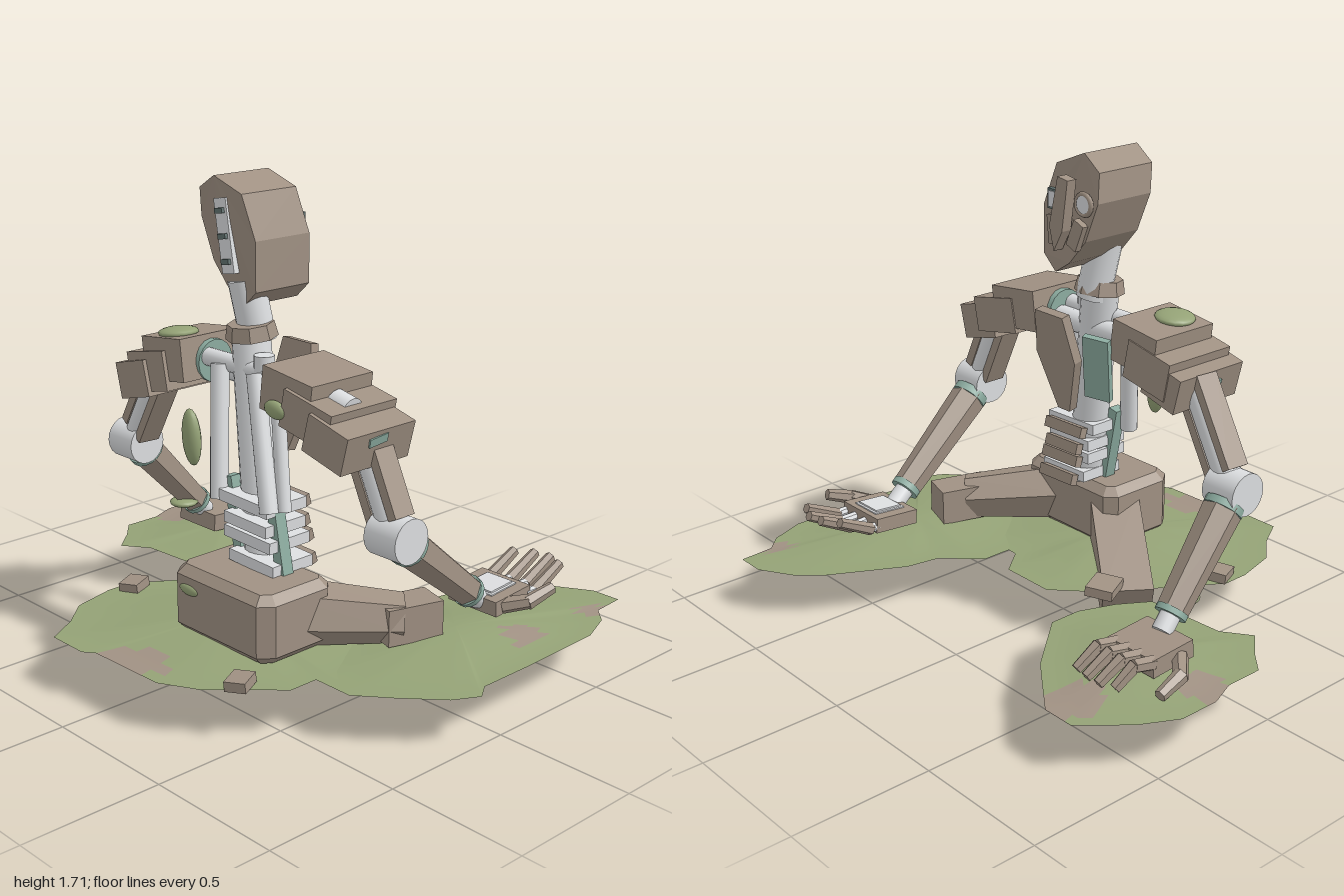
import * as THREE from 'three';

const mat = (name, color) => { const m = new THREE.MeshStandardMaterial({ color }); m.name = name; return m; };
const V = (p) => new THREE.Vector3(...p);

export function createModel() {
  const root = new THREE.Group();
  const brown = mat('weatheredBrown', 0xa09183), white = mat('paleMetal', 0xdcdee0);
  const green = mat('moss', 0x94a276), teal = mat('tealJoint', 0x8dada1);
  const soil = mat('soil', 0x82776c), dark = mat('darkSlot', 0x627270);

  const add = (name, geo, m, pos = [0, 0, 0], rot = [0, 0, 0], parent = root) => {
    const mesh = new THREE.Mesh(geo, m);
    mesh.name = name; mesh.position.set(...pos); mesh.rotation.set(...rot);
    parent.add(mesh);
    return mesh;
  };
  const box = (name, m, size, pos, rot) => add(name, new THREE.BoxGeometry(...size), m, pos, rot);
  const blob = (name, size, pos, rot) => {
    const g = new THREE.SphereGeometry(1, 16, 10).scale(...size);
    return add(name, g, green, pos, rot);
  };
  // Tapered round or prismatic bar between two points
  const bar = (name, m, a, b, r1, r2 = r1, n = 16) => {
    const d = V(b).sub(V(a));
    let g = new THREE.CylinderGeometry(r2, r1, d.length(), n);
    if (n <= 8) { g = g.toNonIndexed(); g.computeVertexNormals(); }
    const mesh = add(name, g, m, V(a).add(V(b)).multiplyScalar(0.5).toArray());
    mesh.quaternion.setFromUnitVectors(new THREE.Vector3(0, 1, 0), d.normalize());
    return mesh;
  };
  // Rectangular beam between two points, with an optional offset across its height
  const beam = (name, m, a, b, w, h, lift = 0) => {
    const d = V(b).sub(V(a));
    const holder = new THREE.Group();
    holder.name = name + 'Holder';
    holder.position.copy(V(a).add(V(b)).multiplyScalar(0.5));
    holder.lookAt(holder.position.clone().add(d));
    root.add(holder);
    return add(name, new THREE.BoxGeometry(w, h, d.length()), m, [0, lift, 0], [0, 0, 0], holder);
  };
  const lerp = (a, b, t) => V(a).lerp(V(b), t).toArray();
  const extrude = (pts, depth, bevel = 0) => new THREE.ExtrudeGeometry(
    new THREE.Shape(pts.map((p) => new THREE.Vector2(...p))),
    { depth, bevelEnabled: bevel > 0, bevelSize: bevel, bevelThickness: bevel, bevelOffset: -bevel, bevelSegments: 1 });

  // Lens-shaped mossy ground, with bare patches given as [x, z, radius]
  const mound = (name, outline, cx, cz, up, down, patches) => {
    const rim = [];
    outline.forEach((p, i) => {
      const q = outline[(i + 1) % outline.length];
      for (let k = 0; k < 4; k++) rim.push([p[0] + (q[0] - p[0]) * k / 4, p[1] + (q[1] - p[1]) * k / 4]);
    });
    const n = rim.length, R = 10, pos = [], idx = [[], [], []];
    for (const h of [up, -down]) for (let r = 0; r <= R; r++) for (const [x, z] of rim) {
      const t = r / R;
      pos.push(cx + (x - cx) * t, 0.163 + h * (0.5 + 0.5 * Math.cos(Math.PI * t)), cz + (z - cz) * t);
    }
    const base = n * (R + 1);
    for (let r = 0; r < R; r++) for (let i = 0; i < n; i++) {
      const a = r * n + i, b = r * n + (i + 1) % n, c = a + n, d = b + n;
      const x = pos[c * 3], z = pos[c * 3 + 2];
      const bare = patches.some((p) => Math.hypot(x - p[0], z - p[1]) < p[2]);
      const top = r ? [a, d, c, a, b, d] : [a, d, c];
      idx[bare ? 1 : 0].push(...top);
      idx[2].push(...top.map((k) => k + base).reverse());
    }
    const g = new THREE.BufferGeometry();
    g.setAttribute('position', new THREE.Float32BufferAttribute(pos, 3));
    g.setIndex(idx.flat());
    let start = 0;
    idx.forEach((list, i) => { g.addGroup(start, list.length, i); start += list.length; });
    g.computeVertexNormals();
    add(name, g, [green, brown, soil]);
  };
  mound('rightMound', [[-0.8, -0.68], [-0.68, -0.68], [-0.55, -0.58], [-0.46, -0.51], [-0.28, -0.3], [-0.28, -0.18],
    [-0.33, -0.05], [-0.4, 0.06], [-0.7, 0.08], [-0.8, 0.15], [-0.88, 0.06], [-0.96, -0.01], [-0.96, -0.15],
    [-1, -0.25], [-1, -0.4], [-0.93, -0.53]], -0.65, -0.25, 0.03, 0.035, [[-0.72, -0.6, 0.1], [-0.93, -0.2, 0.09]]);
  mound('centreMound', [[-0.09, -0.16], [0.12, -0.16], [0.2, -0.06], [0.4, -0.05], [0.6, 0.1], [0.66, 0.35],
    [0.56, 0.4], [0.56, 0.51], [0.36, 0.72], [0.23, 0.79], [-0.08, 0.8], [-0.12, 0.83], [-0.28, 0.83], [-0.35, 0.71],
    [-0.44, 0.61], [-0.48, 0.45], [-0.48, 0.35], [-0.38, 0.2], [-0.24, -0.02]], 0.05, 0.3, 0.04, 0.055, [[0.1, 0.78, 0.12]]);
  mound('leftMound', [[0.72, -0.84], [0.83, -0.84], [0.84, -0.71], [0.9, -0.65], [0.95, -0.52], [0.96, -0.2], [0.96, 0.04],
    [1, 0.1], [0.95, 0.19], [0.82, 0.31], [0.71, 0.4], [0.55, 0.4], [0.35, 0.2], [0.24, -0.02], [0.24, -0.17],
    [0.36, -0.3], [0.38, -0.42], [0.52, -0.68], [0.6, -0.77]], 0.64, -0.18, 0.036, 0.045,
  [[0.84, -0.74, 0.06], [0.82, -0.36, 0.07]]);
  [[-0.26, 0.2, -0.04, 0.5], [-0.43, 0.18, 0.37, 0.4], [0.43, 0.18, 0.61, 0.45]].forEach(
    ([x, y, z, a], i) => box('rubble', brown, [i ? 0.075 : 0.1, 0.035, i ? 0.09 : 0.13], [x, y, z], [0.05, a, 0.05]));

  // Pelvis and legs
  const pelvis = extrude([[-0.2, -0.16], [0.2, -0.16], [0.24, -0.11], [0.24, 0.12], [0.2, 0.16], [-0.2, 0.16], [-0.24, 0.12], [-0.24, -0.11]], 0.18, 0.03);
  add('pelvis', pelvis.rotateX(-Math.PI / 2), brown, [0.19, 0.21, 0.345]);
  beam('rightThigh', brown, [0.06, 0.3, 0.3], [-0.275, 0.105, 0.06], 0.18, 0.15);
  bar('leftThigh', brown, [0.28, 0.29, 0.32], [0.56, 0.26, 0.0], 0.12, 0.085, 6);
  beam('leftKnee', brown, [0.53, 0.255, 0.08], [0.59, 0.255, -0.12], 0.13, 0.13);
  blob('pelvisMoss', [0.05, 0.02, 0.015], [0.05, 0.345, 0.5]);

  // Spine, waist and rib rods
  bar('lowerPost', white, [0.195, 0, 0.305], [0.19, 0.25, 0.28], 0.067);
  bar('spine', white, [0.185, 0.25, 0.27], [0.03, 1.18, 0.2], 0.067);
  [[0.64, 0.15, 0.24], [0.57, 0.16, 0.21], [0.52, 0.17, 0.23], [0.44, 0.19, 0.22]].forEach(([y, x, w]) => {
    box('waistSlat', white, [w, 0.04, 0.18], [x, y, 0.26], [0, 0, -0.03]);
    box('waistBackSlat', brown, [w * 0.8, 0.04, 0.03], [x, y - 0.01, 0.145], [0.3, 0, -0.03]);
  });
  for (const x of [0.03, 0.235]) beam('waistPost', teal, [x + 0.06, 0.4, 0.29], [x, 0.7, 0.29], 0.045, 0.04);
  bar('frontRibRod', white, [-0.05, 1.07, 0.27], [0.01, 0.62, 0.33], 0.032);
  bar('frontRibRod', white, [0.13, 1.07, 0.27], [0.26, 0.63, 0.33], 0.032);
  bar('sideRibRod', white, [0.2, 1.06, 0.24], [0.28, 0.63, 0.28], 0.025);
  bar('shoulderBar', white, [-0.2, 1.07, 0.24], [0.3, 1.07, 0.24], 0.032);
  bar('rearShoulderBar', white, [-0.25, 1.03, 0.19], [0.36, 1.03, 0.19], 0.04);
  for (const x of [-0.155, 0.235]) bar('shoulderBarRing', teal, [x - 0.012, 1.05, 0.21], [x + 0.012, 1.05, 0.21], 0.075);
  bar('collarStud', white, [0.14, 1.05, 0.24], [0.14, 1.13, 0.24], 0.035);
  blob('chestMoss', [0.04, 0.1, 0.028], [-0.115, 0.81, 0.345], [0, 0, 0.1]);
  add('backPlate', extrude([[-0.07, 0.19], [0.07, 0.19], [0.1, 0.02], [0.03, -0.19], [-0.03, -0.19], [-0.1, 0.02]], 0.035),
    brown, [0.06, 0.935, 0.02], [-0.19, 0, 0]);
  box('tealBackPlate', teal, [0.1, 0.24, 0.025], [-0.11, 0.95, 0.06], [-0.2, 0.3, 0.12]);

  // Neck and head
  bar('neck', white, [0.04, 1.15, 0.175], [0.005, 1.36, 0.2], 0.062);
  bar('collar', brown, [0.035, 1.165, 0.2], [0.033, 1.215, 0.205], 0.09, 0.08, 8);
  const skull = extrude([[-0.07, 1.7], [-0.16, 1.65], [-0.17, 1.55], [-0.11, 1.41], [-0.03, 1.32], [0.04, 1.275],
    [0.1, 1.33], [0.1, 1.5], [0.05, 1.65]], 0.24);
  const sp = skull.attributes.position;
  for (let i = 0; i < sp.count; i++) if (sp.getY(i) > 1.6) sp.setZ(i, sp.getZ(i) + (sp.getY(i) - 1.6) * 0.3);
  skull.computeVertexNormals();
  add('head', skull, brown);
  box('ventStrip', white, [0.06, 0.25, 0.035], [-0.025, 1.505, 0.25], [0, 0, 0.17]);
  [-1, 0, 1].forEach((k) => box('ventSlot', dark, [0.038, 0.018, 0.02], [-0.025 - k * 0.015, 1.505 + k * 0.083, 0.269], [0, 0, 0.17]));
  // Face: a slanted ridge, a ringed round eye and a framed square eye
  add('faceRidge', extrude([[-0.02, 0.13], [0.03, 0.13], [0.045, -0.05], [0.01, -0.13], [-0.02, -0.05]], 0.04), brown, [-0.025, 1.49, -0.04], [0, 0, 0.15]);
  bar('roundEye', white, [-0.11, 1.54, 0.02], [-0.11, 1.54, -0.014], 0.032);
  add('roundEyeRing', new THREE.TorusGeometry(0.036, 0.009, 6, 16), brown, [-0.11, 1.54, -0.008]);
  box('squareEyeFrame', dark, [0.05, 0.07, 0.02], [0.045, 1.53, 0]);
  box('squareEye', white, [0.036, 0.055, 0.02], [0.045, 1.53, -0.004]);
  for (const [x, a] of [[-0.08, 0.4], [0.03, -0.1]]) box('cheekPlate', brown, [0.05, 0.1, 0.025], [x, 1.43, -0.01], [0, 0, a]);

  // Layered shoulder armour: [x, y, z, width, height, depth, tilt]
  [[0.355, 1.05, 0.21, 0.23, 0.15, 0.27, -0.12], [0.46, 1, 0.215, 0.22, 0.13, 0.29, -0.2], [0.565, 0.95, 0.225, 0.18, 0.13, 0.3, -0.25],
    [-0.265, 1.055, 0.21, 0.21, 0.15, 0.27, 0.12], [-0.335, 1, 0.215, 0.2, 0.14, 0.29, 0.2], [-0.4, 0.96, 0.225, 0.16, 0.13, 0.3, 0.25],
  ].forEach(([x, y, z, w, h, d, t]) => box('shoulderPlate', brown, [w, h, d], [x, y, z], [0, 0, t]));
  bar('shoulderCap', white, [0.47, 1.04, 0.235], [0.545, 1.025, 0.235], 0.045);
  box('shoulderTab', white, [0.045, 0.02, 0.06], [-0.41, 1.035, 0.16], [0, 0, 0.25]);
  box('shoulderClip', teal, [0.02, 0.03, 0.08], [0.655, 0.96, 0.235], [0.1, 0, -0.25]);
  box('shoulderClip', teal, [0.02, 0.03, 0.08], [-0.48, 0.955, 0.235], [0.1, 0, 0.25]);
  blob('shoulderMoss', [0.072, 0.02, 0.072], [-0.28, 1.135, 0.26], [0, 0, 0.1]);
  blob('shoulderMoss', [0.05, 0.03, 0.02], [0.32, 1.005, 0.355], [0, 0, -0.1]);

  // Arms: pale core between two brown slabs, round elbow, prismatic forearm
  const arm = (side, shoulder, elbow, wrist) => {
    bar(side + 'UpperArmCore', white, shoulder, elbow, 0.05);
    const low = lerp(shoulder, elbow, 0.84);
    for (const s of [-1, 1]) beam(side + 'UpperArmShell', brown, shoulder, low, 0.085, 0.035, s * 0.05);
    bar(side + 'Elbow', white, [elbow[0] - 0.068, elbow[1], elbow[2]], [elbow[0] + 0.068, elbow[1], elbow[2]], 0.076, 0.076, 20);
    bar(side + 'ElbowRing', teal, lerp(elbow, wrist, 0.1), lerp(elbow, wrist, 0.15), 0.07);
    bar(side + 'Forearm', brown, lerp(elbow, wrist, 0.12), lerp(elbow, wrist, 0.86), 0.07, 0.055, 6);
    bar(side + 'WristRing', teal, lerp(elbow, wrist, 0.845), lerp(elbow, wrist, 0.885), 0.056);
    bar(side + 'Wrist', white, lerp(elbow, wrist, 0.84), wrist, 0.036);
  };
  arm('right', [-0.44, 0.97, 0.2], [-0.645, 0.64, 0.18], [-0.695, 0.26, -0.19]);
  arm('left', [0.57, 0.94, 0.2], [0.71, 0.645, 0.2], [0.65, 0.275, -0.28]);
  blob('wristMoss', [0.055, 0.018, 0.055], [-0.665, 0.33, -0.06]);

  // Hands: right presses down, left lies open
  box('rightPalm', brown, [0.21, 0.065, 0.18], [-0.7, 0.228, -0.245], [-0.06, 0, 0]);
  box('leftPalm', brown, [0.215, 0.055, 0.18], [0.635, 0.272, -0.355], [0.08, 0, 0]);
  box('leftPalmPad', white, [0.11, 0.012, 0.11], [0.635, 0.304, -0.355], [0.08, 0, 0]);
  box('leftPalmInset', white, [0.13, 0.006, 0.13], [0.635, 0.301, -0.355], [0.08, 0, 0]);
  for (let i = 0; i < 4; i++) {
    const x = -0.785 + i * 0.056, len = [0.02, 0, 0, 0.01][i];
    bar('rightFinger', brown, [x, 0.235, -0.32], [x + 0.006, 0.25, -0.4], 0.026, 0.024, 6);
    bar('rightFingertip', brown, [x + 0.006, 0.252, -0.39], [x + 0.02, 0.19, -0.485 + len], 0.025, 0.02, 6);
    const u = 0.545 + i * 0.062, reach = [0.05, 0.01, 0, 0.03][i];
    bar('leftFinger', white, [u, 0.272, -0.43], [u, 0.272, -0.53 + reach], 0.018, 0.018, 8);
    bar('leftFingertip', brown, [u, 0.268, -0.51 + reach], [u, 0.335, -0.645 + reach], 0.024, 0.019, 6);
  }
  bar('rightThumb', brown, [-0.8, 0.22, -0.21], [-0.88, 0.21, -0.29], 0.029, 0.026, 6);
  bar('rightThumbTip', brown, [-0.875, 0.215, -0.28], [-0.885, 0.185, -0.385], 0.027, 0.021, 6);
  bar('leftThumb', brown, [0.73, 0.265, -0.31], [0.8, 0.285, -0.37], 0.029, 0.026, 6);
  bar('leftThumbTip', brown, [0.795, 0.28, -0.36], [0.82, 0.315, -0.465], 0.027, 0.021, 6);
  return root;
}
